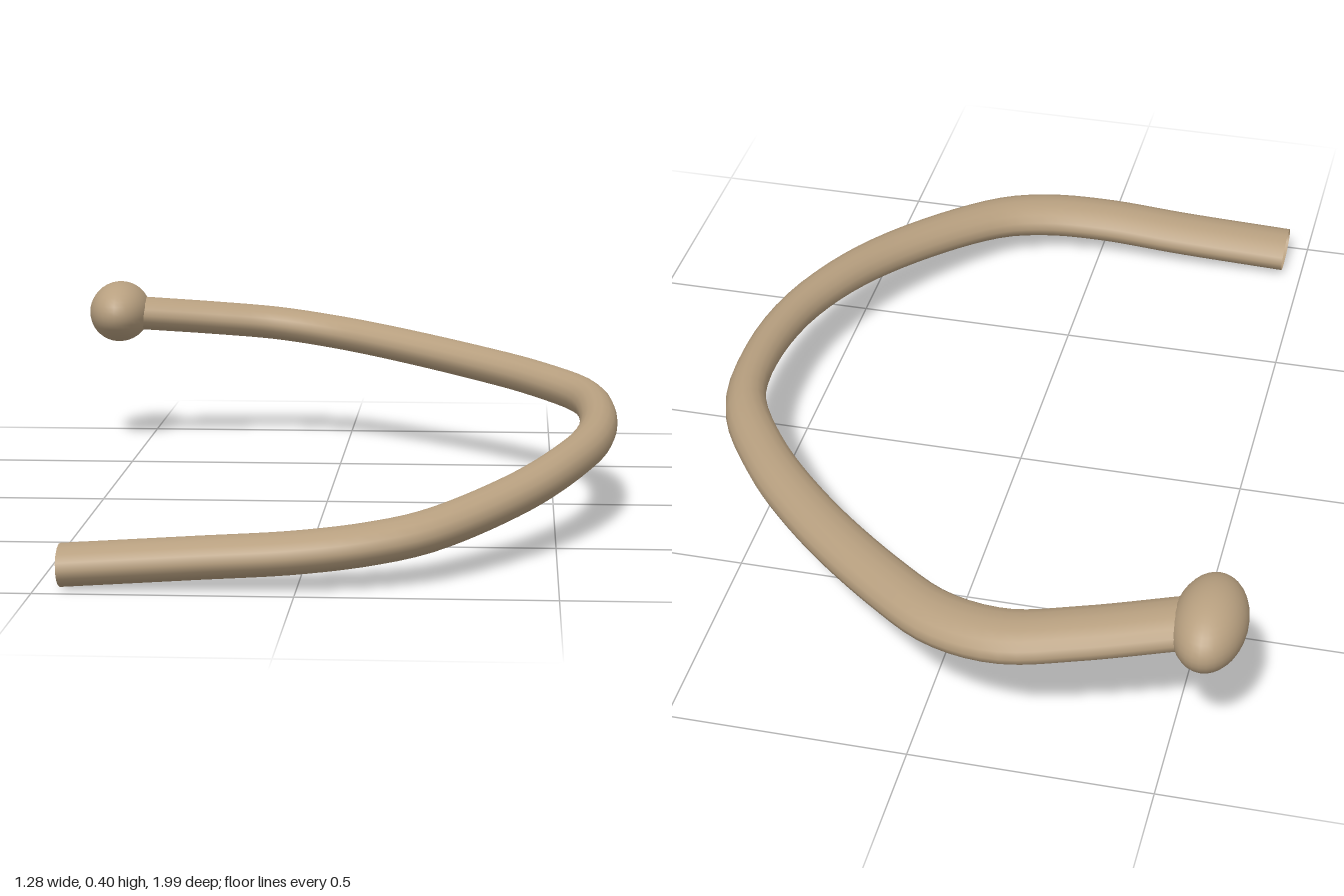
import * as THREE from 'three';

export function createModel() {
  const group = new THREE.Group();
  const stretch = 1.7; // the rod and knob are stretched along z, giving an oval section
  const material = new THREE.MeshStandardMaterial({ color: 0xb8a080, side: THREE.DoubleSide });

  // Centre line from the open front end round to the knob
  const path = [
    [-0.455, 0.045, 0.925], [-0.2, 0.06, 0.917], [0, 0.073, 0.915], [0.14, 0.086, 0.885],
    [0.25, 0.1, 0.82], [0.42, 0.135, 0.6], [0.52, 0.163, 0.4], [0.58, 0.182, 0.2],
    [0.597, 0.198, 0], [0.573, 0.213, -0.2], [0.465, 0.227, -0.4], [0.3, 0.242, -0.6],
    [0.085, 0.262, -0.8], [-0.04, 0.273, -0.89], [-0.18, 0.288, -0.93],
    [-0.33, 0.303, -0.905], [-0.52, 0.321, -0.852],
  ].map(([x, y, z]) => new THREE.Vector3(x, y, z / stretch));

  // Curved rod, open at its ends
  const rod = new THREE.Mesh(
    new THREE.TubeGeometry(new THREE.CatmullRomCurve3(path), 80, 0.041, 16, false), material);
  rod.name = 'curvedRod';
  rod.scale.z = stretch;
  group.add(rod);

  // Rounded knob on the back end
  const knob = new THREE.Mesh(new THREE.SphereGeometry(0.074, 32, 20), material);
  knob.name = 'endKnob';
  knob.position.set(-0.571, 0.326, -0.843);
  knob.scale.z = stretch;
  group.add(knob);

  return group;
}
